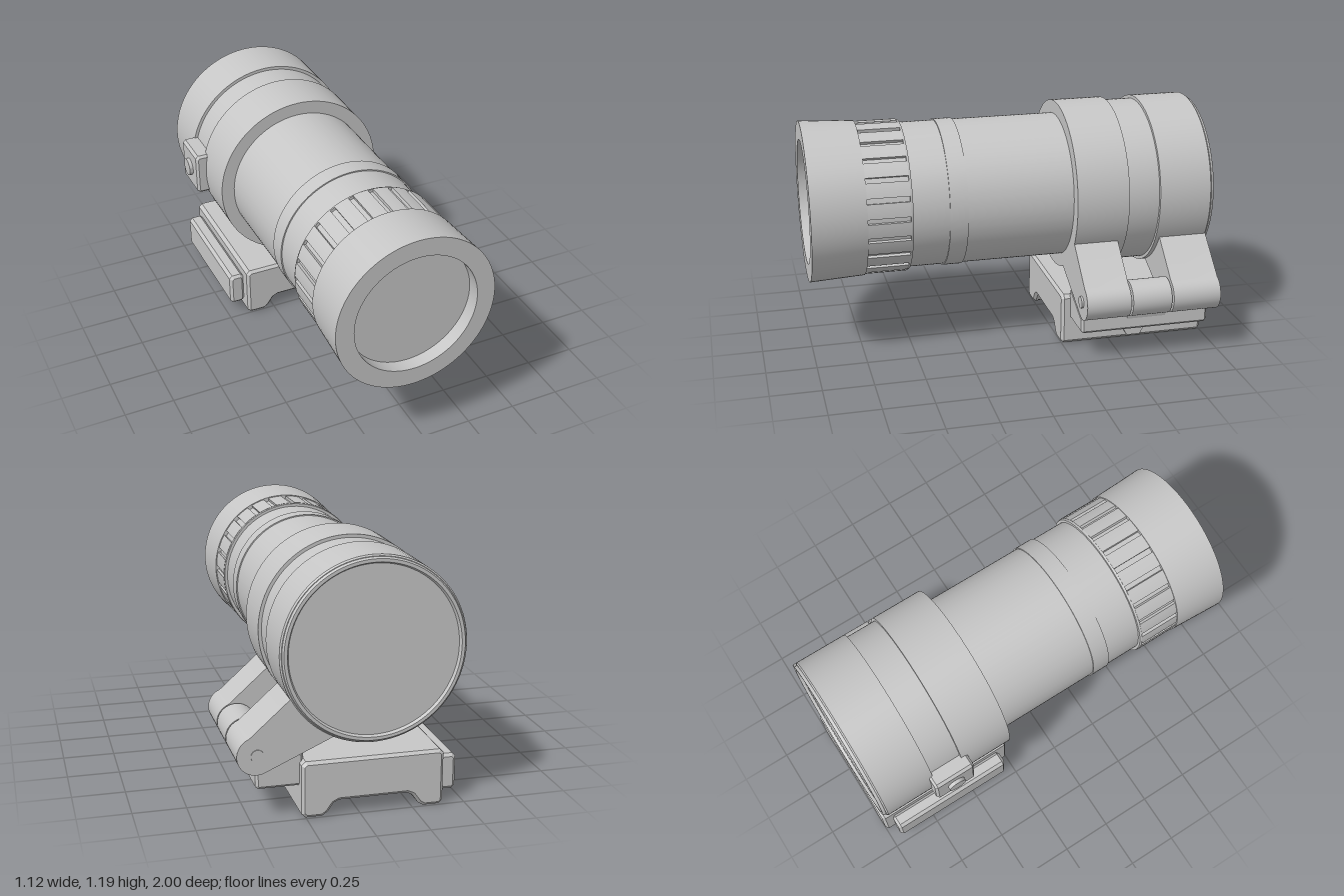
import * as THREE from 'three';
import { toCreasedNormals } from 'three/addons/utils/BufferGeometryUtils.js';

const CX = -0.065, CY = 0.76; // optical axis
const V = (x, y) => new THREE.Vector2(x, y);

export function createModel() {
  const model = new THREE.Group();
  model.name = 'flipMountMagnifier';
  const grey = new THREE.MeshStandardMaterial({ color: 0xc6c6c6 });
  grey.name = 'plainGrey';

  const add = (name, geo, x = 0, y = 0, z = 0) => {
    const mesh = new THREE.Mesh(toCreasedNormals(geo, 0.5), grey);
    mesh.name = name;
    mesh.position.set(x, y, z);
    model.add(mesh);
    return mesh;
  };

  // Solid of revolution along z from [z, radius] pairs
  const turned = (name, profile) =>
    add(name, new THREE.LatheGeometry(profile.map(([z, r]) => V(r, z)), 96).rotateX(Math.PI / 2), CX, CY);

  // Outline in xy, extruded from z0 to z1, with chamfered ends
  const prism = (name, points, z0, z1, bevel = 0) => {
    const geo = new THREE.ExtrudeGeometry(new THREE.Shape(points), {
      depth: z1 - z0 - 2 * bevel, bevelEnabled: bevel > 0, bevelThickness: bevel,
      bevelSize: bevel, bevelOffset: -bevel, bevelSegments: 1,
    });
    return add(name, geo.translate(0, 0, z0 + bevel));
  };

  // Rectangle with cut corners
  const cutRect = (x0, y0, x1, y1, c) => [
    V(x0 + c, y0), V(x1 - c, y0), V(x1, y0 + c), V(x1, y1 - c),
    V(x1 - c, y1), V(x0 + c, y1), V(x0, y1 - c), V(x0, y0 + c),
  ];

  const arc = (x, y, r, from, to, n) => Array.from({ length: n + 1 }, (_, i) => {
    const a = from + (to - from) * i / n;
    return V(x + r * Math.cos(a), y + r * Math.sin(a));
  });

  // Main tube with flared eyepiece, both ends recessed
  turned('opticTube', [
    [-0.98, 0], [-0.98, 0.39], [-1, 0.4], [-1, 0.415], [-0.99, 0.421], [-0.97, 0.421],
    [-0.97, 0.365], [0.24, 0.365], [0.24, 0.371], [0.33, 0.371], [0.33, 0.365],
    [0.51, 0.365], [0.51, 0.379], [0.522, 0.382], [0.522, 0.368], [0.73, 0.368],
    [0.73, 0.388], [1, 0.401], [1, 0.31], [0.93, 0.31], [0.93, 0],
  ]);

  // Grip ring with 24 slots
  const grip = [];
  for (let i = 0; i < 24; i++) {
    const a = i * Math.PI / 12, h = 0.034;
    grip.push(...arc(0, 0, 0.366, a - h, a + h, 1));
    grip.push(...arc(0, 0, 0.383, a + h, a + Math.PI / 12 - h, 5));
  }
  prism('gripRing', grip, 0.52, 0.732).position.set(CX, CY, 0);

  // Clamp collar: two wide bands and a narrower one between
  turned('clampCollar', [
    [-0.985, 0.36], [-0.985, 0.424], [-0.978, 0.431], [-0.715, 0.431], [-0.715, 0.415],
    [-0.555, 0.415], [-0.555, 0.431], [-0.29, 0.431], [-0.29, 0.36],
  ]);

  // Hinge arms reaching from the collar to the pin
  const HX = 0.47, HY = 0.313, HR = 0.09;
  const arm = [V(0.1, 0.6), V(0.12, 0.372), ...arc(HX, HY, HR, -1.95, 1.2, 20), V(0.32, 0.56)];
  [[-0.515, -0.29], [-0.98, -0.735]].forEach(([z0, z1], i) => prism(['frontHingeArm', 'rearHingeArm'][i], arm, z0, z1));

  // Middle knuckle, standing on the base
  prism('hingeKnuckle', [V(0.39, 0.2), V(0.47, 0.2), ...arc(HX, HY, HR, -1.5, 3.2, 28)], -0.725, -0.525);
  add('hingePin', new THREE.CylinderGeometry(0.03, 0.03, 0.705, 24).rotateX(Math.PI / 2), HX - 0.003, HY, -0.6325);

  // Rail base with a channel along its underside
  prism('railBase', [
    V(-0.38, 0), V(-0.305, 0), V(-0.28, 0.016), V(-0.25, 0.058), V(-0.225, 0.07),
    V(0.095, 0.07), V(0.12, 0.058), V(0.15, 0.016), V(0.175, 0), V(0.25, 0),
    V(0.27, 0.018), V(0.27, 0.25), V(0.25, 0.268), V(-0.38, 0.268), V(-0.398, 0.25), V(-0.398, 0.018),
  ], -1, -0.245, 0.014);

  // Hinge shelf beside the base
  prism('hingeShelf', [
    V(0.25, 0.14), V(0.458, 0.14), V(0.47, 0.152), V(0.47, 0.222), V(0.44, 0.23),
    V(0.3, 0.292), V(0.29, 0.3), V(0.25, 0.3),
  ], -0.95, -0.29, 0.012);

  // Clamp bar and hex nut of the rail clamp
  prism('clampBar', cutRect(-0.475, 0.048, -0.396, 0.222, 0.016), -0.95, -0.3, 0.014);
  add('clampNut', new THREE.CylinderGeometry(0.068, 0.068, 0.06, 6).rotateZ(Math.PI / 2), 0.273, 0.09, -0.62);

  // Side boss with a round button
  prism('sideBoss', cutRect(-0.546, 0.65, -0.44, 0.868, 0.014), -0.735, -0.52, 0.012);
  add('sideButton', new THREE.CylinderGeometry(0.045, 0.045, 0.04, 32).rotateZ(Math.PI / 2), -0.544, CY, -0.627);

  return model;
}
